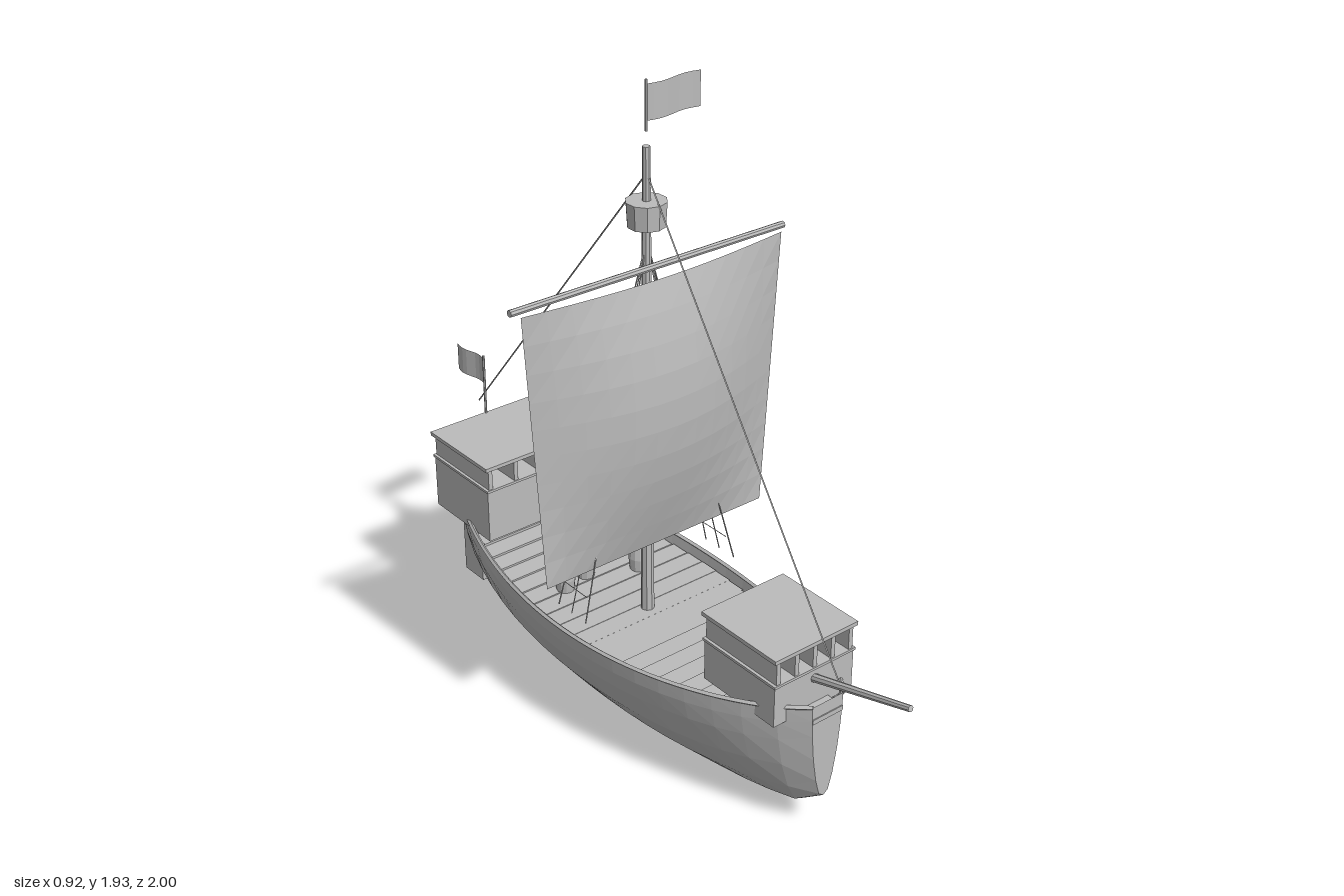
import * as THREE from 'three';

const grey = new THREE.MeshStandardMaterial({ color: 0xbcbcbc, side: THREE.DoubleSide, flatShading: true });
grey.name = 'plain grey';

// Hull lines along t = -1 (stern) .. 1 (bow)
const MID = -0.11, HALF = 0.82;
const halfWidth = t => 0.055 + 0.235 * Math.pow(Math.max(0, 1 - t * t), 0.8);
const sheer = t => 0.38 + 0.07 * t * t;
const bottom = t => Math.abs(t) > 0.99 ? 0.135 : 0.025 + 0.07 * Math.abs(t) ** 3;
const toT = z => (z - MID) / HALF;

export function createModel() {
  const root = new THREE.Group();
  root.name = 'sailingShip';

  const add = (name, geo, x = 0, y = 0, z = 0, parent = root) => {
    const m = new THREE.Mesh(geo, grey);
    m.name = name;
    m.position.set(x, y, z);
    parent.add(m);
    return m;
  };
  const box = (name, w, y0, y1, z0, z1, x = 0, parent = root) =>
    add(name, new THREE.BoxGeometry(w, y1 - y0, z1 - z0), x, (y0 + y1) / 2, (z0 + z1) / 2, parent);
  // Round bar between two points
  const bar = (name, a, b, r0, r1 = r0, sides = 6, parent = root) => {
    const p = new THREE.Vector3(...a), q = new THREE.Vector3(...b);
    const m = add(name, new THREE.CylinderGeometry(r1, r0, p.distanceTo(q), sides), 0, 0, 0, parent);
    m.position.copy(p).add(q).multiplyScalar(0.5);
    m.quaternion.setFromUnitVectors(new THREE.Vector3(0, 1, 0), q.sub(p).normalize());
    return m;
  };

  // Hull skin from cross-sections, with flat bow and stern faces
  const side = [[1, 1], [0.98, 0.86], [0.92, 0.69], [0.78, 0.44], [0.55, 0.2], [0.3, 0.04]];
  const ring = [...side, [0, 0], ...side.slice().reverse().map(([x, y]) => [-x, y])];
  const ts = [-1, -0.91];
  for (let i = -8; i <= 8; i++) ts.push(i / 10);
  ts.push(0.91, 1);
  const pos = [], idx = [], n = ring.length;
  for (const t of ts) for (const [fx, fy] of ring) {
    const b = bottom(t);
    pos.push(fx * halfWidth(t), b + fy * (sheer(t) - b), MID + t * HALF);
  }
  for (let i = 0; i < ts.length - 1; i++) for (let j = 0; j < n - 1; j++) {
    const a = i * n + j, c = a + n;
    idx.push(a, a + 1, c, a + 1, c + 1, c);
  }
  const last = (ts.length - 1) * n;
  for (let j = 0; j < (n - 1) / 2; j++) {
    const k = n - 1 - j;
    idx.push(j, k, j + 1, j + 1, k, k - 1);
    idx.push(last + j, last + j + 1, last + k, last + j + 1, last + k - 1, last + k);
  }
  const hull = new THREE.BufferGeometry();
  hull.setAttribute('position', new THREE.Float32BufferAttribute(pos, 3));
  hull.setIndex(idx);
  hull.computeVertexNormals();
  add('hull', hull);

  // Gunwale rails
  for (const s of [-1, 1]) {
    const pts = ts.map(t => new THREE.Vector3(s * (halfWidth(t) - 0.002), sheer(t), MID + t * HALF));
    add('gunwale', new THREE.TubeGeometry(new THREE.CatmullRomCurve3(pts), 40, 0.007, 4));
  }

  // Deck planks laid across the hull
  const deck = new THREE.Group();
  deck.name = 'deck';
  root.add(deck);
  const step = 0.065;
  for (let z = -0.91; z < 0.68; z += step) {
    const t0 = toT(z), t1 = toT(z + step);
    const w = Math.min(halfWidth(t0), halfWidth(t1)) * 0.97;
    const y = sheer((t0 + t1) / 2) - 0.035;
    box('deckPlank', 2 * w, y - 0.015, y, z, z + step - 0.002, 0, deck);
  }

  // Castles: solid lower room, row of partitions, thin roof
  const castle = (name, hw, y0, y1, y2, z0, z1) => {
    const g = new THREE.Group();
    g.name = name;
    root.add(g);
    box('room', 2 * hw, y0, y1, z0, z1, 0, g);
    box('sill', 2 * hw + 0.008, y1 - 0.006, y1 + 0.002, z0 - 0.004, z1 + 0.004, 0, g);
    for (let i = -2; i <= 2; i++)
      box('partition', 0.014, y1, y2, z0, z1, i * (hw - 0.012) / 2, g);
    box('roof', 2 * hw + 0.012, y2 - 0.004, y2 + 0.008, z0 - 0.008, z1 + 0.006, 0, g);
  };
  castle('forecastle', 0.14, 0.395, 0.525, 0.602, 0.375, 0.655);
  castle('sternCastle', 0.197, 0.395, 0.57, 0.642, -0.845, -0.56);

  // Rudder, tiller and bowsprit
  box('rudder', 0.02, 0.005, 0.45, -1, -0.9);
  bar('tiller', [0, 0.5, -0.8], [0, 0.482, -0.89], 0.006);
  bar('bowsprit', [0, 0.475, 0.6], [0, 0.592, 0.998], 0.013, 0.009, 8);

  // Mast, lookout and yard
  const MZ = -0.045;
  bar('mast', [0, 0.33, MZ], [0, 1.76, MZ], 0.02, 0.011, 8);
  add('crowsNest', new THREE.CylinderGeometry(0.057, 0.053, 0.07, 10), 0, 1.577, MZ);
  bar('yard', [-0.46, 1.433, -0.018], [0.46, 1.433, -0.018], 0.01, 0.01, 8);

  // Billowing square sail
  const sail = new THREE.PlaneGeometry(2, 1, 12, 10);
  const sp = sail.attributes.position;
  for (let i = 0; i < sp.count; i++) {
    const u = sp.getX(i), v = 0.5 - sp.getY(i);
    const z = 0.095 * Math.cos(u * Math.PI / 2) * Math.sin(Math.PI * (0.12 + 0.88 * v));
    sp.setXYZ(i, u * (0.438 - 0.053 * v), 1.422 - 0.832 * v, z);
  }
  sail.computeVertexNormals();
  add('sail', sail);

  // Stays and shrouds with short crosspieces
  bar('foreStay', [0, 1.69, MZ], [0, 0.53, 0.745], 0.0025, 0.0025, 4);
  bar('backStay', [0, 1.685, MZ], [0, 0.68, -0.885], 0.0025, 0.0025, 4);
  for (const s of [-1, 1]) {
    for (const z of [0.02, MZ, -0.105])
      bar('shroud', [0, 1.5, MZ], [s * 0.272, 0.44, z], 0.002, 0.002, 4);
    for (const y of [0.51, 0.75, 1.0, 1.24]) {
      const x = s * 0.272 * (1.5 - y) / 1.06;
      bar('ratline', [x, y, 0.005], [x, y, -0.1], 0.0015, 0.0015, 4);
    }
  }

  // Waving flags on thin poles
  const flag = (name, w, h, x, y, z, turn) => {
    const geo = new THREE.PlaneGeometry(w, h, 8, 1).translate(w / 2, 0, 0);
    const p = geo.attributes.position;
    for (let i = 0; i < p.count; i++) p.setZ(i, 0.007 * Math.sin(p.getX(i) / w * Math.PI * 2));
    geo.computeVertexNormals();
    add(name, geo, x, y, z).rotation.y = turn;
  };
  bar('topFlagPole', [0, 1.8, MZ], [0, 1.937, MZ], 0.004);
  flag('topFlag', 0.18, 0.098, 0, 1.876, MZ, 0);
  bar('sternFlagPole', [0, 0.6, -0.85], [0, 0.847, -0.85], 0.004);
  flag('sternFlag', 0.143, 0.088, 0, 0.792, -0.85, Math.PI / 2);

  // Deck cargo
  const barrel = new THREE.LatheGeometry(
    [[0, 0], [0.026, 0], [0.031, 0.045], [0.026, 0.09], [0, 0.09]].map(p => new THREE.Vector2(...p)), 12);
  for (const [x, z] of [[-0.13, -0.27], [-0.04, -0.29], [0.13, -0.34], [0.11, -0.225]])
    add('barrel', barrel, x, 0.342, z);
  box('crate', 0.092, 0.34, 0.42, -0.468, -0.376, 0.046);

  return root;
}
